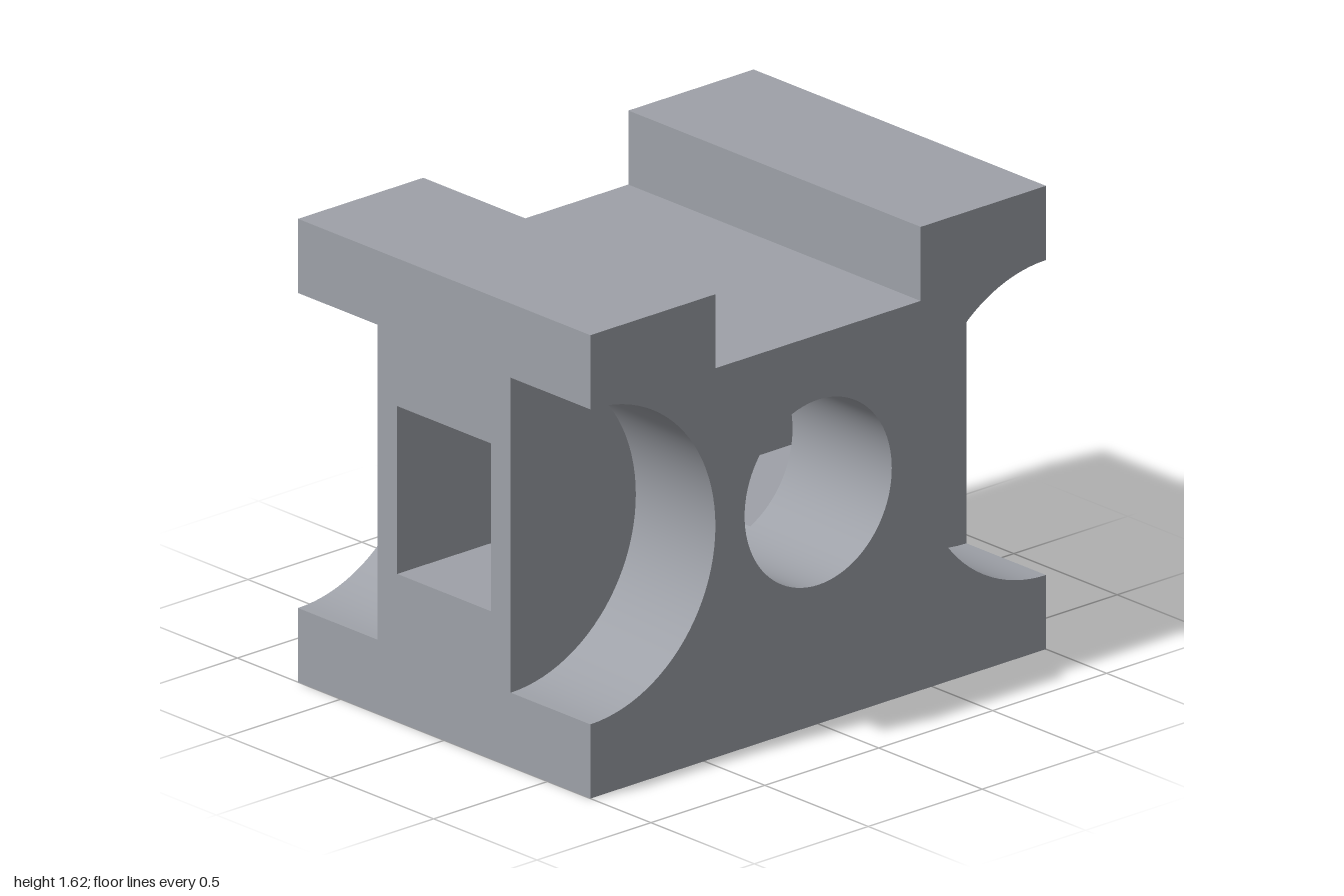
import * as THREE from 'three';

const W = 1, H = 1.615, D = 0.707;          // half width, height, half depth
const CY = H / 2;                           // height of every bore axis
const SLOT_X = 0.45, SLOT_Y = 1.357;        // top slot
const BITE_R = 0.549, WEB_Z = 0.322;        // round side recesses and the web between them
const BORE_R = 0.323;                       // front-to-back bore
const WIN_Z = 0.227, WIN_H = 0.2925;        // side-to-side window, half sizes
const A = Math.asin(WIN_H / BORE_R);        // angle where window and bore cross
const CROSS_X = BORE_R * Math.cos(A);

const material = new THREE.MeshStandardMaterial({ color: 0x9ea1a8 });
const P = (x, y) => new THREE.Vector2(x, y);

// Points along an arc centred on the bore height
function arc(cx, r, a0, a1, n = 48) {
  return Array.from({ length: n + 1 }, (_, i) => {
    const a = a0 + (a1 - a0) * i / n;
    return P(cx + r * Math.cos(a), CY + r * Math.sin(a));
  });
}

// The bore circle, clockwise, split where the window crosses it
const boreRight = arc(0, BORE_R, A, -A, 32);
const boreBed = arc(0, BORE_R, -A, A - Math.PI, 12);
const boreLeft = arc(0, BORE_R, Math.PI + A, Math.PI - A, 32);
const boreCrown = arc(0, BORE_R, Math.PI - A, A, 12);
const boreCircle = [boreRight, boreBed, boreLeft, boreCrown].flatMap(a => a.slice(0, -1));

function add(group, name, geometry) {
  const mesh = new THREE.Mesh(geometry, material);
  mesh.name = name;
  group.add(mesh);
  return mesh;
}

// Flat face looking along +z
function face(group, name, points, z, holes = []) {
  const shape = new THREE.Shape(points);
  shape.holes = holes.map(h => new THREE.Path(h));
  const mesh = add(group, name, new THREE.ShapeGeometry(shape));
  mesh.position.z = z;
  return mesh;
}

// Wall swept along z under a path; solid lies on the left of the path
function wall(group, name, points, z0, z1) {
  const pos = [], index = [];
  points.forEach((p, i) => {
    pos.push(p.x, p.y, z0, p.x, p.y, z1);
    if (i) {
      const k = 2 * i;
      index.push(k - 2, k, k + 1, k - 2, k + 1, k - 1);
    }
  });
  const geometry = new THREE.BufferGeometry();
  geometry.setAttribute('position', new THREE.Float32BufferAttribute(pos, 3));
  geometry.setIndex(index);
  geometry.computeVertexNormals();
  return add(group, name, geometry);
}

// Front half plus right side; turned by 180 degrees it also gives back and left
function createHalf() {
  const half = new THREE.Group();
  const q = Math.PI / 2;
  const biteRight = arc(W, BITE_R, -q, -3 * q);
  const biteLeft = arc(-W, BITE_R, q, -q);

  // End face with slot, side bites and bore
  face(half, 'endFace', [
    P(-W, 0), P(W, 0), ...biteRight, P(W, H), P(SLOT_X, H), P(SLOT_X, SLOT_Y),
    P(-SLOT_X, SLOT_Y), P(-SLOT_X, H), P(-W, H), ...biteLeft,
  ], D, [boreCircle]);

  // Round recesses at the two corners
  for (const bite of [biteRight, biteLeft]) {
    wall(half, 'recessWall', bite, WEB_Z, D);
    face(half, 'recessFloor', bite, WEB_Z);
  }

  // Bore from the end face to the window
  wall(half, 'bore', [...boreCircle, boreCircle[0]], WIN_Z, D);

  // Window walls on either side of the bore
  const y0 = CY - WIN_H, y1 = CY + WIN_H;
  face(half, 'windowWall', [P(W, y0), P(W, y1), ...boreRight], -WIN_Z);
  face(half, 'windowWall', [P(-W, y1), P(-W, y0), ...boreLeft], -WIN_Z);

  // Side face: I-shaped, pierced by the window
  const b0 = CY - BITE_R, b1 = CY + BITE_R;
  const side = face(half, 'sideFace', [
    P(-D, 0), P(D, 0), P(D, b0), P(WEB_Z, b0), P(WEB_Z, b1), P(D, b1),
    P(D, H), P(-D, H), P(-D, b1), P(-WEB_Z, b1), P(-WEB_Z, b0), P(-D, b0),
  ], 0, [[P(-WIN_Z, y0), P(-WIN_Z, y1), P(WIN_Z, y1), P(WIN_Z, y0)]]);
  side.rotation.y = q;
  side.position.x = W;

  // Top rail and slot side
  wall(half, 'railTop', [P(W, H), P(SLOT_X, H)], -D, D);
  wall(half, 'slotSide', [P(SLOT_X, H), P(SLOT_X, SLOT_Y)], -D, D);

  // Window sill and lintel, ending at the bore
  wall(half, 'windowSill', [P(W, y0), P(CROSS_X, y0)], -WIN_Z, WIN_Z);
  wall(half, 'windowLintel', [P(CROSS_X, y1), P(W, y1)], -WIN_Z, WIN_Z);
  return half;
}

export function createModel() {
  const model = new THREE.Group();
  model.name = 'slottedBlock';

  const front = createHalf();
  front.name = 'frontHalf';
  const back = createHalf();
  back.name = 'backHalf';
  back.rotation.y = Math.PI;
  model.add(front, back);

  // Underside and slot floor
  wall(model, 'underside', [P(-W, 0), P(W, 0)], -D, D);
  wall(model, 'slotFloor', [P(SLOT_X, SLOT_Y), P(-SLOT_X, SLOT_Y)], -D, D);

  // Slivers of the bore above and below the window
  wall(model, 'boreCrown', boreCrown, -WIN_Z, WIN_Z);
  wall(model, 'boreBed', boreBed, -WIN_Z, WIN_Z);
  return model;
}
